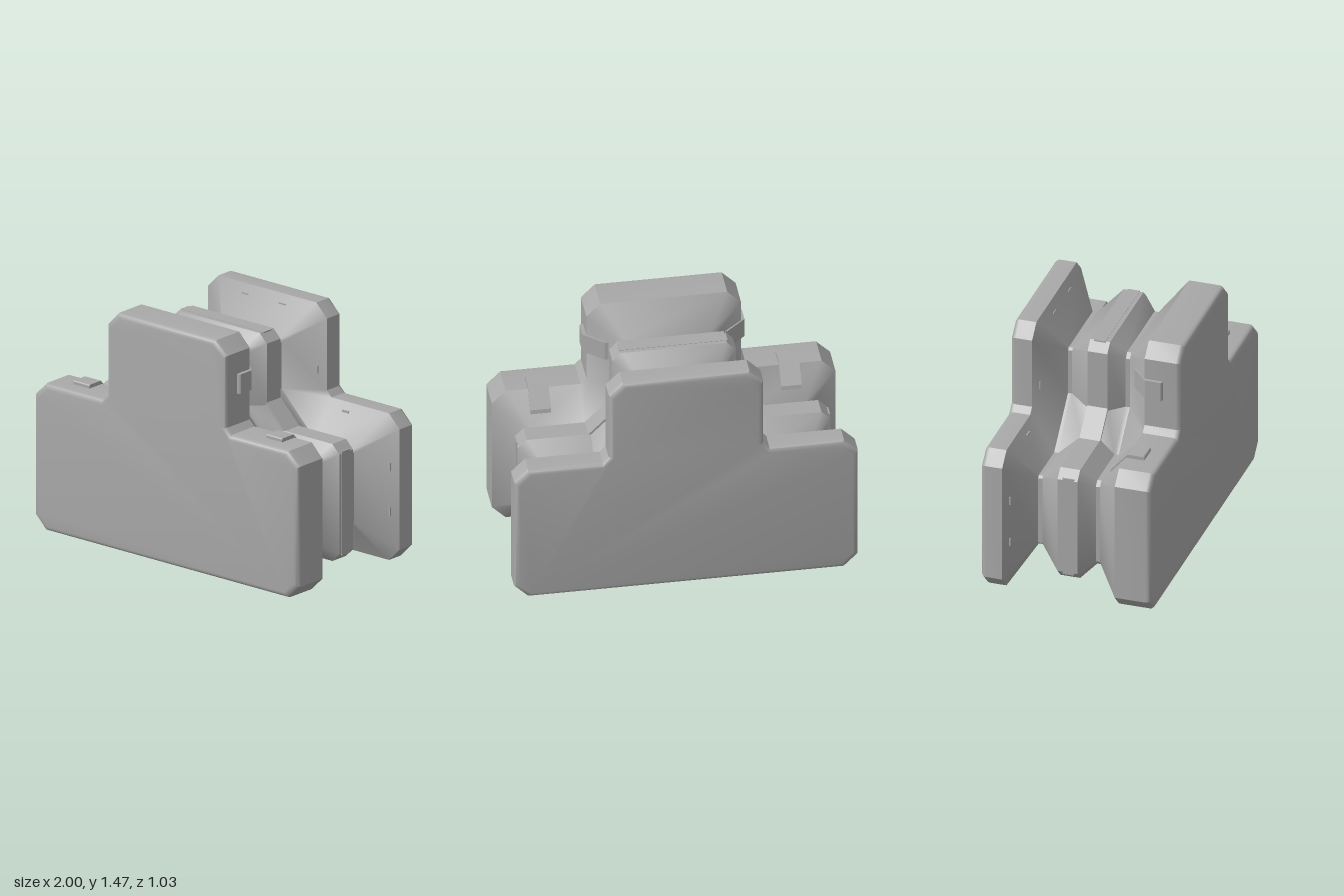
import * as THREE from 'three';
import { toCreasedNormals } from 'three/addons/utils/BufferGeometryUtils.js';

const V = (x, y, z) => new THREE.Vector3(x, y, z);

// T-shaped outline, counter-clockwise, pulled inwards by d
function outline(d) {
  const c = 0.08 - 0.3 * d;
  const half = [
    [1 - d - c, 0.03 + d], [1 - d, 0.03 + d + c],
    [1 - d, 0.92 - d - c], [1 - d - c, 0.92 - d],
    [0.485, 0.92 - d], [0.45 - d, 0.955],
    [0.45 - d, 1.47 - d - c], [0.45 - d - c, 1.47 - d],
  ];
  const mirrored = half.map(([x, y]) => [-x, y]).reverse();
  return [...half, ...mirrored].map(([x, y]) => new THREE.Vector2(x, y));
}

// Shell lofted from front to back through outlines of changing inset
function bodyGeometry() {
  const R = 0.03, steps = 4, rings = [];
  for (let i = 0; i <= steps; i++) {
    const a = (i / steps) * Math.PI / 2;
    rings.push([0.512 - R + R * Math.cos(a), R * (1 - Math.sin(a))]);
  }
  rings.push([0.295, 0], [0.15, 0.17], [0.125, 0.17], [0.04, 0.09],
    [-0.08, 0.09], [-0.215, 0.22], [-0.24, 0.22], [-0.385, 0]);
  for (let i = steps; i >= 0; i--) {
    const a = (i / steps) * Math.PI / 2;
    rings.push([-0.515 + R - R * Math.cos(a), R * (1 - Math.sin(a))]);
  }
  const pos = [], index = [], n = outline(0).length;
  rings.forEach(([z, d]) => outline(d).forEach(p => pos.push(p.x, p.y, z)));
  for (let r = 0; r < rings.length - 1; r++) {
    for (let i = 0; i < n; i++) {
      const a = r * n + i, b = r * n + (i + 1) % n;
      index.push(a, a + n, b, b, a + n, b + n);
    }
  }
  const last = (rings.length - 1) * n;
  THREE.ShapeUtils.triangulateShape(outline(R), []).forEach(([a, b, c]) => {
    index.push(a, b, c, last + a, last + c, last + b);
  });
  const g = new THREE.BufferGeometry();
  g.setAttribute('position', new THREE.Float32BufferAttribute(pos, 3));
  g.setIndex(index);
  return toCreasedNormals(g, 0.6);
}

// Folded plate that lies on the front rim and bends down its slope
function latchGeometry(width) {
  const t = 0.022;
  const s = new THREE.Shape([
    [0.405, -0.005], [0.405, t - 0.006], [0.399, t], [0.304, t],
    [0.205, -0.09], [0.198, -0.115], [0.295, -0.005],
  ].map(([u, v]) => new THREE.Vector2(u, v)));
  const g = new THREE.ExtrudeGeometry(s, { depth: width, bevelEnabled: false });
  return g.translate(0, 0, -width / 2);
}

export function createModel() {
  const model = new THREE.Group();
  const grey = new THREE.MeshStandardMaterial({ color: 0xa8a8a8 });
  grey.name = 'grey shell';

  const add = (name, geometry, x = 0, y = 0, z = 0) => {
    const m = new THREE.Mesh(geometry, grey);
    m.name = name;
    m.position.set(x, y, z);
    model.add(m);
    return m;
  };
  const box = (name, w, h, d, x, y, z) => add(name, new THREE.BoxGeometry(w, h, d), x, y, z);

  add('body', bodyGeometry());

  // Latches on the front rim: outward direction decides the orientation
  const latch = latchGeometry(0.12);
  const addLatch = (x, y, normal) => {
    const m = add('latch', latch);
    const zAxis = V(0, 0, 1);
    m.setRotationFromMatrix(new THREE.Matrix4().makeBasis(
      zAxis, normal, zAxis.clone().cross(normal)));
    m.position.set(x, y, 0);
  };

  for (const s of [-1, 1]) {
    addLatch(s * 0.73, 0.92, V(0, 1, 0));
    addLatch(s * 0.45, 1.2, V(s, 0, 0));
    addLatch(s * 0.73, 0.022, V(0, -1, 0));
    addLatch(s * 0.3, 0.022, V(0, -1, 0));

    // Diagonal brace in the inner corner of the middle rib
    box('cornerBrace', 0.198, 0.02, 0.125, s * 0.423, 0.893, -0.02).rotation.z = -s * Math.PI / 4;

    // Inlaid strip on the end of the middle rib
    box('sideStrip', 0.008, 0.63, 0.07, s * 0.908, 0.475, -0.015);

    // Small studs around the slope of the rear rim
    box('stud', 0.05, 0.012, 0.012, s * 0.14, 1.417, -0.355);
    box('stud', 0.05, 0.012, 0.012, s * 0.62, 0.872, -0.355);
    for (const y of [0.34, 0.61]) box('stud', 0.012, 0.05, 0.012, s * 0.953, y, -0.355);
    box('stud', 0.012, 0.05, 0.012, s * 0.403, 1.08, -0.355);

    // Curved hooks below the middle rib
    for (const f of [-1, 1]) {
      const path = new THREE.CatmullRomCurve3(f > 0
        ? [V(0, 0.17, 0.11), V(0, 0.15, 0.108), V(0, 0.135, 0.095), V(0, 0.125, 0.085)]
        : [V(0, 0.225, -0.2), V(0, 0.205, -0.2), V(0, 0.19, -0.19), V(0, 0.18, -0.178)]);
      add('hook', new THREE.TubeGeometry(path, 8, 0.006, 6), s * 0.5, 0, 0);
    }
  }

  // Strip on top and clip bar underneath the middle rib
  box('topStrip', 0.63, 0.008, 0.07, 0, 1.378, -0.02);
  box('clipBar', 0.9, 0.04, 0.045, 0, 0.105, -0.005);

  return model;
}
